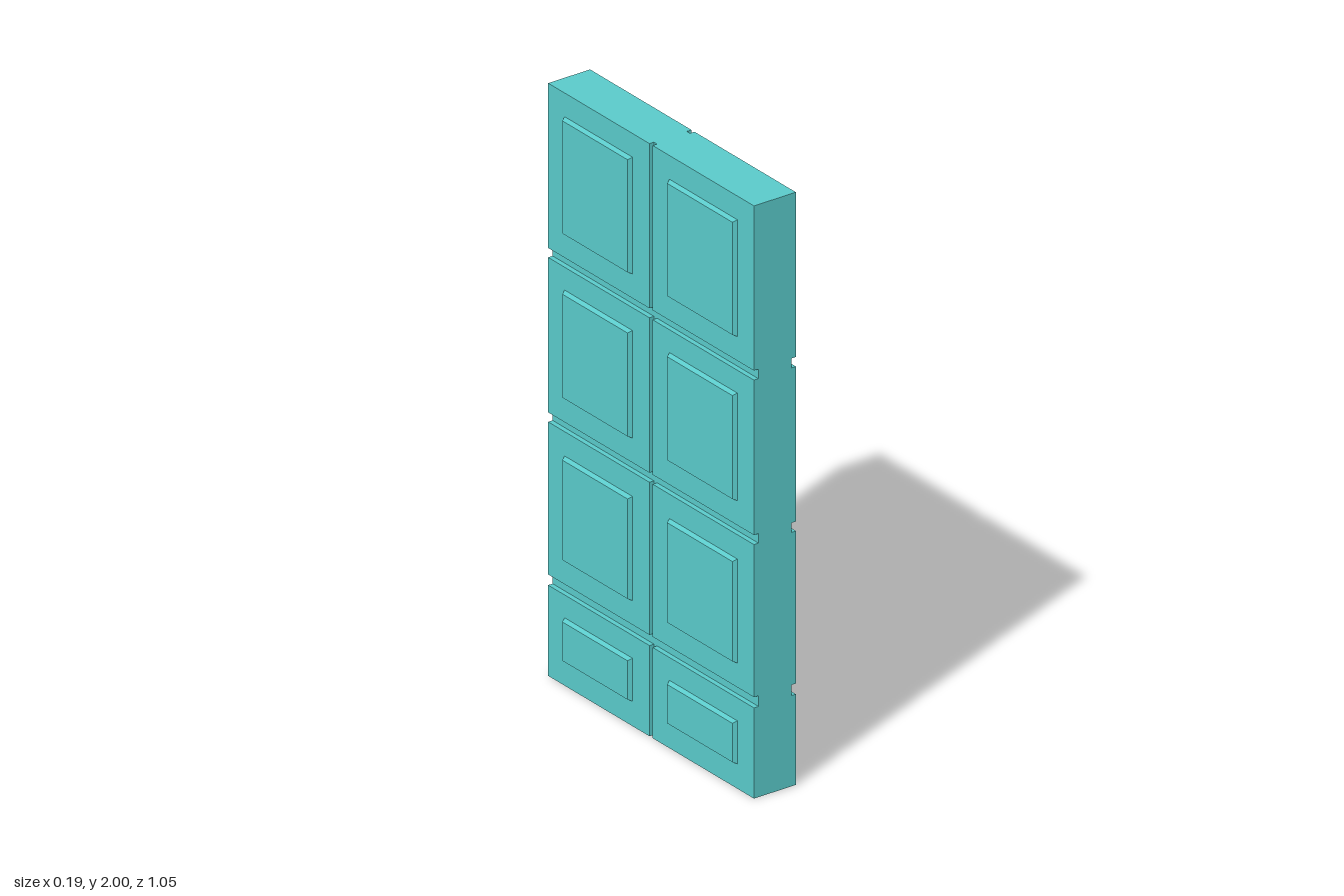
import * as THREE from 'three';

export function createModel() {
  const group = new THREE.Group();
  const teal = new THREE.MeshStandardMaterial({ color: 0x5acaca });
  teal.name = 'teal';

  const CORE = 0.062, FACE = 0.079, RAISED = 0.093; // half thicknesses
  const HALF_WIDTH = 0.524, GROOVE = 0.008, BEVEL = 0.007;

  // Box spanning two corners; its outer x face can be inset to form a bevel
  function slab(name, x, y, z, bevel = 0, side = 1) {
    const size = [x, y, z].map(([a, b]) => b - a);
    const geo = new THREE.BoxGeometry(...size);
    if (bevel) {
      const p = geo.attributes.position;
      for (let i = 0; i < p.count; i++) {
        if (p.getX(i) * side > 0) {
          p.setY(i, p.getY(i) - Math.sign(p.getY(i)) * bevel);
          p.setZ(i, p.getZ(i) - Math.sign(p.getZ(i)) * bevel);
        }
      }
      const flat = geo.toNonIndexed();
      flat.computeVertexNormals();
      geo.copy(flat);
      geo.setIndex(null);
    }
    const mesh = new THREE.Mesh(geo, teal);
    mesh.name = name;
    mesh.position.set(...[x, y, z].map(([a, b]) => (a + b) / 2));
    group.add(mesh);
  }

  // Thin core seen at the bottom of the grooves
  slab('doorCore', [-CORE, CORE], [0, 2], [-HALF_WIDTH, HALF_WIDTH]);

  // Rows: tile bottom/top, then raised panel bottom/top
  const rows = [
    [0, 0.306, 0.084, 0.229],
    [0.342, 0.857, 0.424, 0.775],
    [0.889, 1.412, 0.972, 1.335],
    [1.444, 2, 1.526, 1.92],
  ];

  const span = (a, b, s) => (s > 0 ? [a, b] : [-b, -a]);
  for (const side of [1, -1]) {
    for (const half of [1, -1]) {
      for (const [y0, y1, p0, p1] of rows) {
        slab('doorTile', span(CORE, FACE, side), [y0, y1], span(GROOVE, HALF_WIDTH, half));
        slab('raisedPanel', span(FACE, RAISED, side), [p0, p1], span(0.094, 0.44, half), BEVEL, side);
      }
    }
  }
  return group;
}
